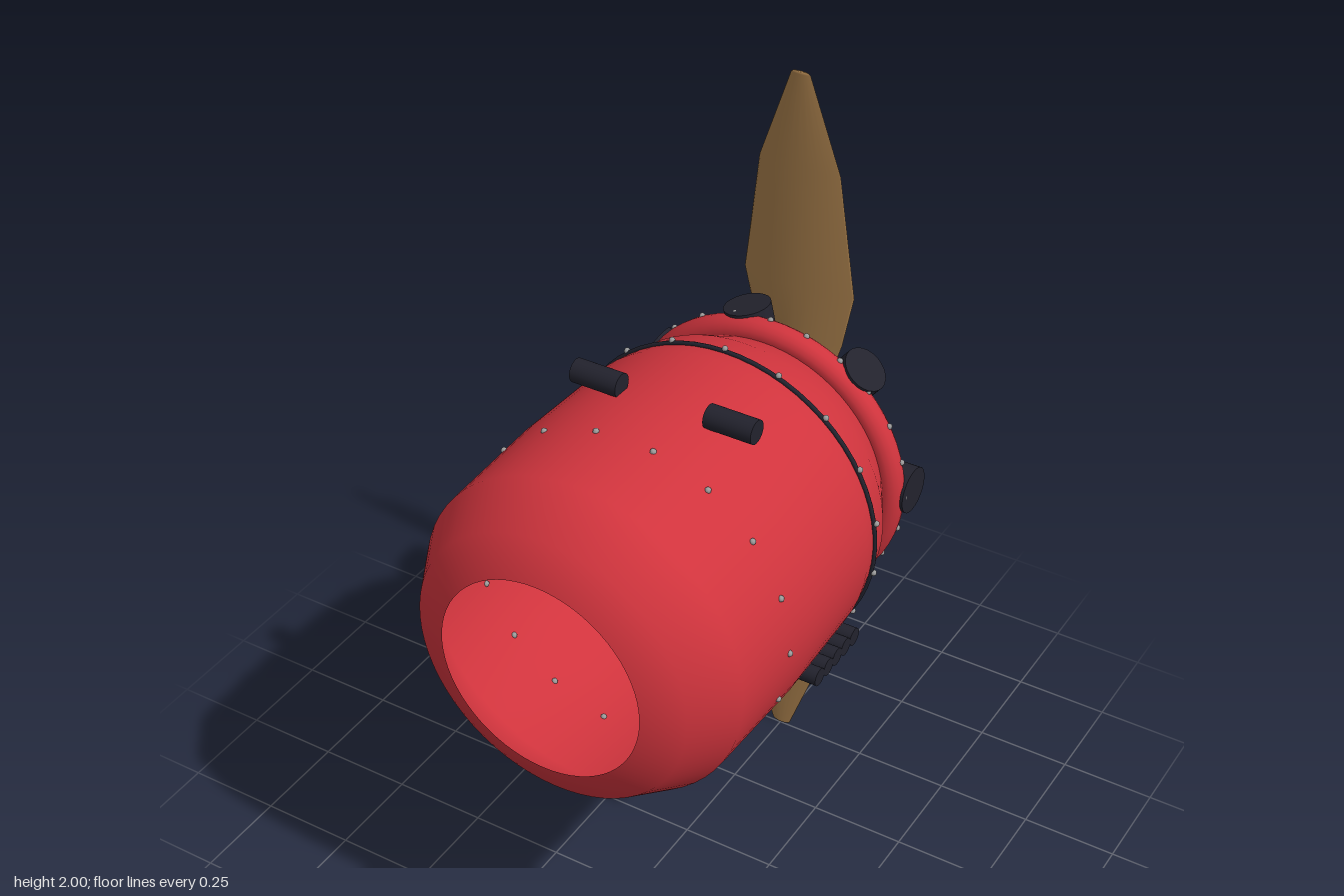
import * as THREE from 'three';

const mat = (name, color, side = THREE.FrontSide) => {
  const m = new THREE.MeshStandardMaterial({ color, side });
  m.name = name;
  return m;
};

export function createModel() {
  const red = mat('cowl red', 0xd0343d, THREE.DoubleSide);
  const dark = mat('dark metal', 0x22222d);
  const finGrey = mat('fin grey', 0x77736b);
  const steel = mat('steel', 0x9c9c9c);
  const brass = mat('brass', 0xd2b36a);
  const wood = mat('wood', 0xa67d4b);
  const grain = mat('wood grain', 0x3a2a18);

  const model = new THREE.Group();
  model.name = 'radialEngine';
  // Everything is arranged around the engine axis, which runs along z
  const engine = new THREE.Group();
  engine.name = 'engine';
  engine.position.y = 1;
  model.add(engine);

  const add = (parent, name, geometry, material, x = 0, y = 0, z = 0) => {
    const mesh = new THREE.Mesh(geometry, material);
    mesh.name = name;
    mesh.position.set(x, y, z);
    parent.add(mesh);
    return mesh;
  };
  // Cylinder along z between two z values
  const disc = (name, r, z0, z1, material) =>
    add(engine, name, new THREE.CylinderGeometry(r, r, z1 - z0, 48).rotateX(Math.PI / 2), material, 0, 0, (z0 + z1) / 2);

  // Cowl: open shell, seam ring and rounded lip
  const profile = [
    [0.345, -0.35], [0.4, -0.25], [0.427, -0.12], [0.437, 0.17],
    [0.43, 0.47], [0.36, 0.595], [0.265, 0.64],
  ].map(([r, z]) => new THREE.Vector2(r, z));
  add(engine, 'cowl', new THREE.LatheGeometry(profile, 64).rotateX(Math.PI / 2), red);
  add(engine, 'cowlLip', new THREE.TorusGeometry(0.352, 0.035, 16, 64), red, 0, 0, -0.38);
  add(engine, 'cowlSeam', new THREE.TorusGeometry(0.42, 0.006, 8, 64), dark, 0, 0, -0.17);

  // Rivet rings
  const rivet = new THREE.SphereGeometry(0.008, 8, 6);
  for (const [r, z, count, start] of [
    [0.426, -0.172, 18, Math.PI / 2], [0.435, 0.27, 18, 0], [0.385, -0.39, 24, 0],
  ]) {
    const ring = new THREE.Group();
    ring.name = 'rivetRing';
    for (let i = 0; i < count; i++) {
      const a = start + (i / count) * Math.PI * 2;
      add(ring, 'rivet', rivet, steel, r * Math.cos(a), r * Math.sin(a), z);
    }
    engine.add(ring);
  }

  // Firewall and crankcase
  disc('firewall', 0.335, -0.4, -0.38, dark);
  disc('crankcase', 0.19, -0.515, -0.381, dark);

  // Seven finned cylinders
  const barrel = new THREE.CylinderGeometry(0.042, 0.042, 0.24, 20).rotateZ(-Math.PI / 2);
  const fin = new THREE.CylinderGeometry(0.056, 0.056, 0.008, 24).rotateZ(-Math.PI / 2);
  const head = new THREE.CylinderGeometry(0.06, 0.06, 0.075, 24).rotateZ(-Math.PI / 2);
  for (let i = 0; i < 7; i++) {
    const cylinder = new THREE.Group();
    cylinder.name = 'cylinder';
    cylinder.position.z = -0.427;
    cylinder.rotation.z = (i / 7) * Math.PI * 2;
    add(cylinder, 'barrel', barrel, finGrey, 0.22);
    for (let k = 0; k < 12; k++) add(cylinder, 'coolingFin', fin, finGrey, 0.112 + k * 0.018);
    add(cylinder, 'cylinderHead', head, dark, 0.354);
    engine.add(cylinder);
  }

  // Exhaust stubs on top and along the left side
  const topStub = new THREE.CylinderGeometry(0.03, 0.03, 0.125, 24).rotateZ(Math.PI / 2);
  for (const s of [-1, 1]) add(engine, 'topPipe', topStub, dark, s * 0.179, 0.437, 0.097);
  const sideStub = new THREE.CylinderGeometry(0.023, 0.023, 0.09, 20).rotateZ(Math.PI / 2);
  for (let i = 0; i < 5; i++) add(engine, 'exhaustStub', sideStub, dark, 0.366, -0.23, 0.07 - i * 0.0435);

  // Propeller hub, bolts and spinner
  disc('hub', 0.14, -0.575, -0.51, steel);
  const bolt = new THREE.SphereGeometry(0.018, 12, 8);
  for (let i = 0; i < 6; i++) {
    const a = (i / 6) * Math.PI * 2;
    add(engine, 'hubBolt', bolt, brass, 0.117 * Math.cos(a), 0.117 * Math.sin(a), -0.578);
  }
  add(engine, 'spinner', new THREE.SphereGeometry(0.082, 32, 20), brass, 0, 0, -0.575).scale.z = 0.84;

  // Blades lofted from lens sections: height, half width, centre z, half thickness
  const stations = [
    [0.06, 0.06, -0.542, 0.028], [0.15, 0.085, -0.541, 0.029], [0.27, 0.122, -0.536, 0.028],
    [0.42, 0.153, -0.529, 0.024], [0.75, 0.11, -0.515, 0.012], [0.995, 0.026, -0.506, 0.005],
    [1, 0.02, -0.506, 0.004], [1, 0.0005, -0.506, 0.0005],
  ];
  const blade = bladeGeometry(stations, 24);
  const streaks = [-0.053, -0.018, 0.018, 0.053].map((x0) => {
    const points = [];
    for (let i = 0; i <= 8; i++) {
      const t = i / 8;
      points.push(new THREE.Vector3(x0 + 0.009 * Math.sin(t * Math.PI * 2), 0.2 + 0.62 * t, -0.584 + 0.037 * t));
    }
    return new THREE.TubeGeometry(new THREE.CatmullRomCurve3(points), 24, 0.0045, 6);
  });
  for (const turn of [0, Math.PI]) {
    const group = new THREE.Group();
    group.name = 'propellerBlade';
    group.rotation.z = turn;
    add(group, 'blade', blade, wood);
    for (const streak of streaks) add(group, 'grainStreak', streak, grain);
    engine.add(group);
  }
  return model;
}

// Skins a stack of lens-shaped sections rising along y
function bladeGeometry(stations, n) {
  const position = [];
  const index = [];
  stations.forEach(([y, w, c, h], j) => {
    for (let k = 0; k < n; k++) {
      const a = (k / n) * Math.PI * 2;
      const s = Math.sin(a);
      position.push(w * Math.cos(a), y, c + h * s * Math.abs(s));
      if (j === stations.length - 1) continue;
      const p = j * n + k;
      const q = j * n + ((k + 1) % n);
      index.push(p, p + n, q, q, p + n, q + n);
    }
  });
  const geometry = new THREE.BufferGeometry();
  geometry.setAttribute('position', new THREE.Float32BufferAttribute(position, 3));
  geometry.setIndex(index);
  geometry.computeVertexNormals();
  return geometry;
}
